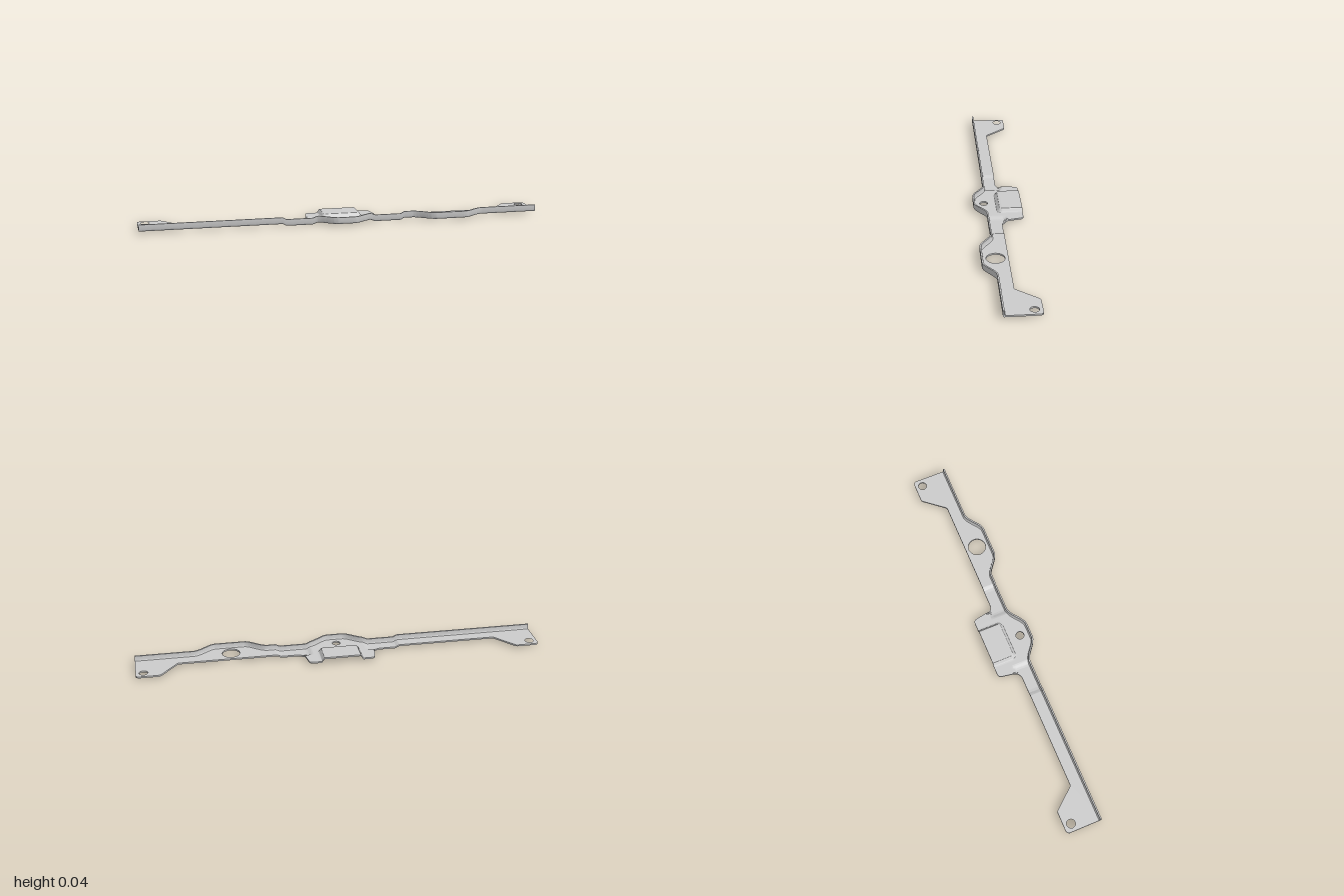
import * as THREE from 'three';
import { toCreasedNormals } from 'three/addons/utils/BufferGeometryUtils.js';

const T = 0.008;      // sheet thickness
const BASE = 0.01;    // underside of the flat plate
const TOP = 0.043;    // top of the flange
const SPLIT = 0.012;  // line between rear and front plate sections

const smooth = (v, a, b) => THREE.MathUtils.smoothstep(v, a, b);
const range = (a, b, n) => Array.from({ length: n + 1 }, (_, i) => a + (b - a) * i / n);

// Front outline: straight edge with two outward bumps
const bump = (x, c, inner, outer) => 1 - smooth(Math.abs(x - c), inner, outer);
const frontZ = x => 0.058 + 0.06 * Math.max(bump(x, 0, 0.035, 0.15), bump(x, 0.53, 0.07, 0.185));
const plateZ = x => frontZ(x) - 0.005;

// Rear outline of the centre tab, with rounded corners and root fillets
function rearZ(x) {
  const a = Math.abs(x);
  if (a < 0.145) return -0.118;
  if (a < 0.165) return -0.098 - Math.sqrt(Math.max(0, 0.0004 - (a - 0.145) ** 2));
  if (a < 0.175) return -0.098 + 5.8 * (a - 0.165);
  if (a < 0.21) return -0.04 + 0.03 * Math.sqrt(Math.max(0, 1 - ((0.21 - a) / 0.035) ** 2));
  return -0.01;
}

// Shallow downward joggles either side of the centre
function dip(x, z) {
  const a = Math.abs(x);
  return -BASE * smooth(a, 0.13, 0.16) * (1 - smooth(a, 0.285, 0.31)) * smooth(z, -0.038, -0.022);
}

// Raised rectangular pocket, open at the rear
function pocket(x, z) {
  const r = 0.025;
  const dx = Math.abs(x) - 0.105 + r, dz = z - 0.007 + r;
  const d = Math.hypot(Math.max(dx, 0), Math.max(dz, 0)) + Math.min(Math.max(dx, dz), 0) - r;
  return 0.019 * smooth(-d, 0, 0.017);
}

function buildGeometry(positions, indices, crease = 0.5) {
  const g = new THREE.BufferGeometry();
  g.setAttribute('position', new THREE.Float32BufferAttribute(positions, 3));
  g.setIndex(indices);
  return toCreasedNormals(g, crease);
}

// Formed sheet between two outlines, with a wall along its rear edge
function sheet(xs, z0, z1, nz, height) {
  const pos = [], idx = [], row = 2 * (nz + 1);
  for (const x of xs) {
    for (let j = 0; j <= nz; j++) {
      const z = THREE.MathUtils.lerp(z0(x), z1(x), j / nz);
      const y = BASE + height(x, z);
      pos.push(x, y + T, z, x, y, z);
    }
  }
  for (let i = 0; i < xs.length - 1; i++) {
    const p = i * row, q = p + row;
    for (let j = 0; j < nz; j++) {
      const a = p + 2 * j, b = a + 2, d = q + 2 * j, c = d + 2;
      idx.push(a, b, c, a, c, d, a + 1, c + 1, b + 1, a + 1, d + 1, c + 1);
    }
    idx.push(p, q, q + 1, p, q + 1, p + 1);
  }
  return buildGeometry(pos, idx);
}

// Flat plate from [x, z] points with round [x, z, radius] holes
function flatPlate(points, holes) {
  const shape = new THREE.Shape(points.map(([x, z]) => new THREE.Vector2(x, -z)));
  for (const [x, z, r] of holes) {
    shape.holes.push(new THREE.Path().absarc(x, -z, r, 0, Math.PI * 2, true));
  }
  const g = new THREE.ExtrudeGeometry(shape, { depth: T, bevelEnabled: false, curveSegments: 20 });
  g.rotateX(-Math.PI / 2).translate(0, BASE, 0);
  return toCreasedNormals(g, 0.5);
}

// Upright flange swept along the front outline, with a rounded lower bend
function flange() {
  const section = [[0, TOP], [0, 0.017], [0.0015, 0.0125], [0.004, 0.0105], [0.007, BASE],
    [0.011, BASE], [0.011, BASE + T], [0.0085, 0.02], [0.0075, 0.023], [0.0075, TOP]];
  const xs = range(-1, 1, 400), n = section.length, pos = [], idx = [];
  for (const x of xs) {
    const slope = (frontZ(x + 0.001) - frontZ(x - 0.001)) / 0.002;
    const len = Math.hypot(1, slope);
    for (const [o, y] of section) {
      pos.push(x + o * slope / len, y + dip(x, 0.05), frontZ(x) - o / len);
    }
  }
  for (let i = 0; i < xs.length - 1; i++) {
    for (let k = 0; k < n; k++) {
      const a = i * n + k, b = i * n + (k + 1) % n;
      idx.push(a, b, b + n, a, b + n, a + n);
    }
  }
  // End caps
  const ring = section.map(([o, y]) => new THREE.Vector2(o, y));
  const last = (xs.length - 1) * n;
  for (const tri of THREE.ShapeUtils.triangulateShape(ring, [])) {
    const [a, b, c] = tri;
    const [p, q, r] = [ring[a], ring[b], ring[c]];
    const ccw = (q.x - p.x) * (r.y - p.y) - (q.y - p.y) * (r.x - p.x) > 0;
    const [u, v, w] = ccw ? [a, b, c] : [a, c, b];
    idx.push(last + u, last + v, last + w, u, w, v);
  }
  return buildGeometry(pos, idx, 0.7);
}

export function createModel() {
  const group = new THREE.Group();
  group.name = 'mountingBracket';
  const material = new THREE.MeshStandardMaterial({ color: 0xcccccc });
  const add = (name, geometry) => {
    const mesh = new THREE.Mesh(geometry, material);
    mesh.name = name;
    group.add(mesh);
  };

  // Centre tab with raised pocket and joggled strip behind the split line
  add('centreTab', sheet(range(-0.31, 0.31, 248), rearZ, () => SPLIT, 28,
    (x, z) => dip(x, z) + pocket(x, z)));

  // Front of the centre plate with its small hole
  add('centreFrontPlate', flatPlate(
    [[-0.13, SPLIT], ...range(-0.13, 0.13, 40).map(x => [x, plateZ(x)]), [0.13, SPLIT]],
    [[0, 0.065, 0.02]]));

  for (const side of [1, -1]) {
    const label = side > 0 ? 'left' : 'right';

    // Joggled strip beside the centre
    const xs = side > 0 ? range(0.13, 0.31, 36) : range(-0.31, -0.13, 36);
    add(label + 'Joggle', sheet(xs, () => SPLIT, plateZ, 2, dip));

    // Long arm with a holed end tab
    const outline = range(0.31, 1, 110).map(a => [side * a, plateZ(side * a)]);
    for (const [a, z] of [[1, -0.104], [0.996, -0.113], [0.986, -0.118], [0.892, -0.118],
      [0.884, -0.116], [0.878, -0.111], [0.797, -0.013], [0.79, -0.01], [0.31, -0.01]]) {
      outline.push([side * a, z]);
    }
    const holes = [[side * 0.962, -0.081, 0.021]];
    if (side > 0) holes.push([0.53, 0.05, 0.044]);
    add(label + 'Arm', flatPlate(outline, holes));
  }

  add('frontFlange', flange());
  return group;
}
